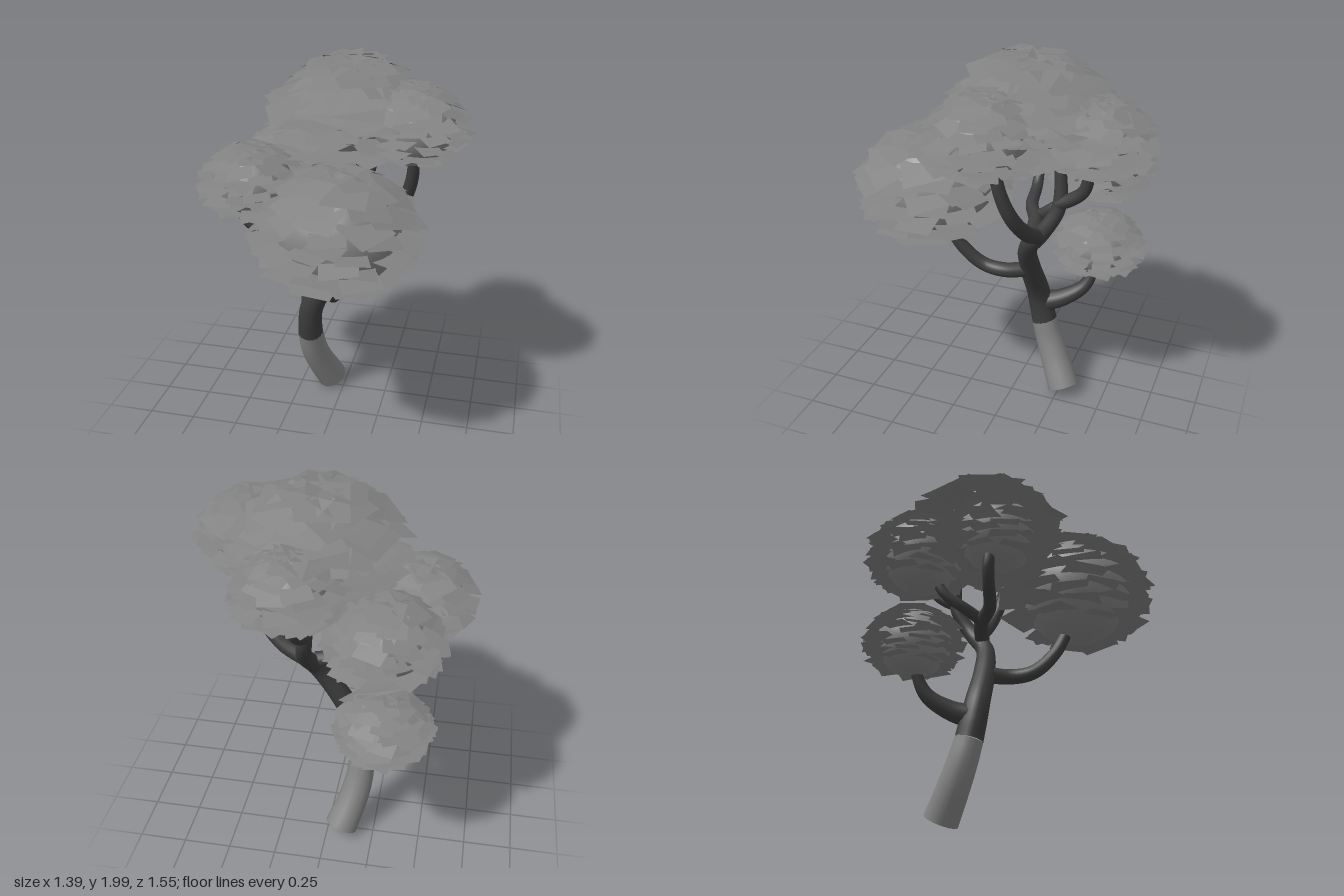
import * as THREE from 'three';
import { mergeGeometries } from 'three/addons/utils/BufferGeometryUtils.js';

const bark = new THREE.MeshStandardMaterial({ color: 0x858585 });
const darkBark = new THREE.MeshStandardMaterial({ color: 0x3e3e3e });
const coreMaterial = new THREE.MeshStandardMaterial({ color: 0x858585 });
const leafMaterial = new THREE.MeshStandardMaterial({ color: 0x828282, side: THREE.DoubleSide });

// Small seeded generator, returns -1..1
let seed = 7;
function jitter() {
  seed = (seed * 16807) % 2147483647;
  return (seed / 2147483647) * 2 - 1;
}

function smoothPath(points) {
  return new THREE.CatmullRomCurve3(points.map(p => new THREE.Vector3(...p)));
}

// Tube along a smooth path, tapering from r0 to r1
function limb(name, path, r0, r1, material, segments = 20) {
  const sides = 14;
  const geo = new THREE.TubeGeometry(path, segments, 1, sides);
  const pos = geo.attributes.position;
  const v = new THREE.Vector3();
  for (let i = 0; i <= segments; i++) {
    const c = path.getPointAt(i / segments);
    const r = THREE.MathUtils.lerp(r0, r1, i / segments);
    for (let j = 0; j <= sides; j++) {
      const k = i * (sides + 1) + j;
      v.fromBufferAttribute(pos, k).sub(c).multiplyScalar(r).add(c);
      pos.setXYZ(k, v.x, v.y, v.z);
    }
  }
  const mesh = new THREE.Mesh(geo, material);
  mesh.name = name;
  return mesh;
}

// Leaf ball: smooth squashed core shingled with flat, drooping square leaves
function leafBall(name, [x, y, z], r, ry, leafSize) {
  const group = new THREE.Group();
  group.name = name;
  group.position.set(x, y, z);

  const core = new THREE.Mesh(new THREE.SphereGeometry(r, 32, 20), coreMaterial);
  core.scale.y = ry / r;
  core.name = 'foliageCore';
  group.add(core);

  const leaves = [];
  const count = 88;
  const euler = new THREE.Euler(0, 0, 0, 'YXZ');
  const one = new THREE.Vector3(1, 1, 1);
  for (let i = 0; i < count; i++) {
    const up = 0.995 - (i / (count - 1)) * 1.84;      // height on the unit sphere
    const out = Math.sqrt(1 - up * up);
    const turn = i * 2.39996 + jitter() * 0.2;        // golden-angle spiral
    const len = leafSize * (1 + jitter() * 0.15);
    const reach = out * r + len * (up < 0 ? 0.06 : 0) * out;
    const leaf = new THREE.PlaneGeometry(len * 0.95, len);
    leaf.rotateX(-Math.PI / 2);
    leaf.rotateY(jitter() * 0.4);
    // Leaves on the upper half slope more, following the core
    const droop = out * (0.17 + 0.5 * Math.max(0, up) + jitter() * 0.12);
    euler.set(droop, turn, jitter() * 0.15 * out);
    const place = new THREE.Vector3(Math.sin(turn) * reach, up * ry + 0.015, Math.cos(turn) * reach);
    leaf.applyMatrix4(new THREE.Matrix4().compose(place, new THREE.Quaternion().setFromEuler(euler), one));
    leaves.push(leaf);
  }
  const leafMesh = new THREE.Mesh(mergeGeometries(leaves), leafMaterial);
  leafMesh.name = 'leaves';
  group.add(leafMesh);
  return group;
}

export function createModel() {
  const tree = new THREE.Group();
  tree.name = 'tree';

  // Leaning trunk: pale below, dark above, running up into the crown
  const lowerPath = smoothPath([[-0.077, 0.044, -0.283], [-0.133, 0.2, -0.207], [-0.157, 0.31, -0.163], [-0.165, 0.41, -0.133]]);
  const upperPath = smoothPath([
    [-0.165, 0.405, -0.134], [-0.163, 0.5, -0.114], [-0.145, 0.6, -0.1], [-0.04, 0.8, -0.09],
    [0.07, 0.98, -0.115], [0.12, 1.1, -0.2], [0.1, 1.25, -0.28], [0.07, 1.5, -0.27],
  ]);
  tree.add(limb('lowerTrunk', lowerPath, 0.087, 0.07, bark));
  tree.add(limb('upperTrunk', upperPath, 0.07, 0.027, darkBark, 40));

  // Cut face at the foot of the trunk
  const foot = new THREE.Mesh(new THREE.CircleGeometry(0.087, 14), bark);
  foot.name = 'trunkFoot';
  foot.position.copy(lowerPath.getPointAt(0));
  foot.quaternion.setFromUnitVectors(new THREE.Vector3(0, 0, 1), lowerPath.getTangentAt(0).negate());
  tree.add(foot);

  // Branches from the trunk to each leaf ball
  const branches = {
    frontBranch: [[[-0.04, 0.79, -0.09], [0.02, 0.79, 0.03], [0.03, 0.81, 0.15], [0.06, 0.92, 0.26], [0.08, 1.06, 0.33]], 0.042, 0.03],
    lowBranch: [[[-0.16, 0.52, -0.11], [-0.19, 0.55, -0.22], [-0.24, 0.62, -0.33], [-0.29, 0.76, -0.39]], 0.06, 0.022],
    rightBranch: [[[0.08, 1.04, -0.13], [-0.08, 1.06, -0.1], [-0.25, 1.06, -0.02], [-0.42, 1.09, 0.01], [-0.48, 1.16, 0.02], [-0.49, 1.26, 0.03]], 0.04, 0.027],
    backRightBranch: [[[-0.1, 1.06, -0.09], [-0.2, 1.09, -0.16], [-0.25, 1.15, -0.25], [-0.27, 1.28, -0.32]], 0.032, 0.024],
    leftBranch: [[[0.11, 1.08, -0.19], [0.24, 1.15, -0.17], [0.34, 1.27, -0.13], [0.38, 1.4, -0.09], [0.385, 1.58, -0.05]], 0.042, 0.028],
    backBranch: [[[0.1, 1.27, -0.28], [0.11, 1.31, -0.35], [0.12, 1.37, -0.41], [0.13, 1.55, -0.44]], 0.035, 0.025],
  };
  for (const [name, [points, r0, r1]] of Object.entries(branches)) {
    tree.add(limb(name, smoothPath(points), r0, r1, darkBark));
  }

  // Leaf balls: centre, radius, half height, leaf size
  const balls = {
    frontFoliage: [[0.1, 1.28, 0.375], 0.3, 0.275, 0.19],
    lowFoliage: [[-0.3, 0.87, -0.385], 0.183, 0.165, 0.12],
    rightFoliage: [[-0.415, 1.36, 0.05], 0.203, 0.175, 0.14],
    backRightFoliage: [[-0.285, 1.365, -0.37], 0.212, 0.195, 0.14],
    leftFoliage: [[0.385, 1.68, -0.015], 0.203, 0.188, 0.14],
    topFoliage: [[0.06, 1.71, -0.12], 0.285, 0.245, 0.26],
    backFoliage: [[0.12, 1.64, -0.47], 0.185, 0.172, 0.14],
  };
  for (const [name, args] of Object.entries(balls)) tree.add(leafBall(name, ...args));

  return tree;
}
